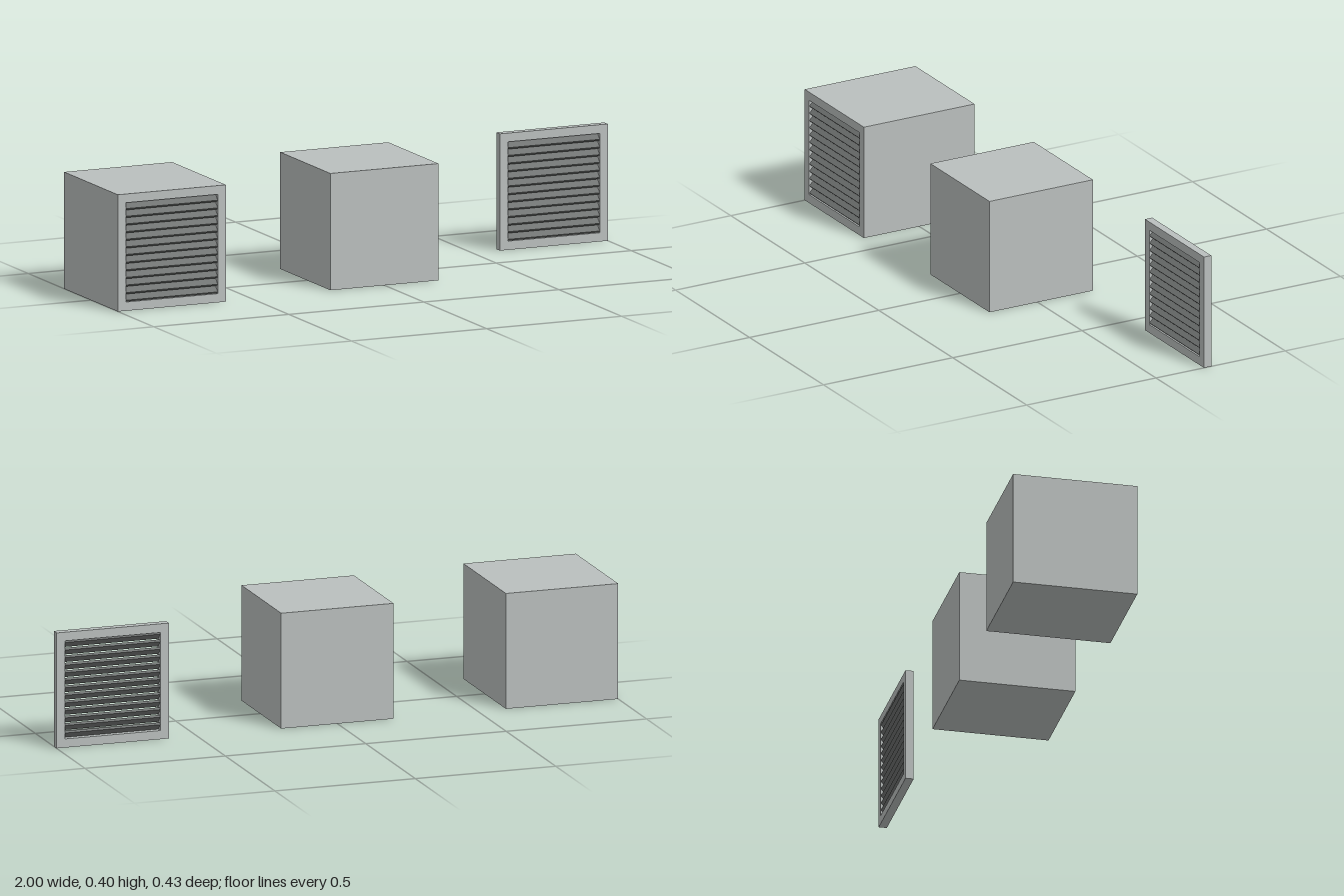
import * as THREE from 'three';

const SIZE = 0.4, DEPTH = 0.028, BORDER = 0.03, SLATS = 13;

function flat(name, color) {
  const material = new THREE.MeshStandardMaterial({ color });
  material.name = name;
  return material;
}
const paleGrey = flat('paleGrey', 0xbabfbe);
const slatGrey = flat('slatGrey', 0x727574);

function block(name, material, w, h, d, x, y, z) {
  const mesh = new THREE.Mesh(new THREE.BoxGeometry(w, h, d), material);
  mesh.name = name;
  mesh.position.set(x, y, z);
  return mesh;
}

// Square frame with thick slanted slats, outer edges pointing down
function louvre(name, x, zBack) {
  const group = new THREE.Group();
  group.name = name;
  group.position.set(x, 0, zBack);

  const half = SIZE / 2, inner = half - BORDER;
  const outline = new THREE.Shape([[-half, 0], [half, 0], [half, SIZE], [-half, SIZE]]
    .map(([a, b]) => new THREE.Vector2(a, b)));
  outline.holes.push(new THREE.Path([[-inner, BORDER], [-inner, SIZE - BORDER], [inner, SIZE - BORDER], [inner, BORDER]]
    .map(([a, b]) => new THREE.Vector2(a, b))));
  const frame = new THREE.Mesh(
    new THREE.ExtrudeGeometry(outline, { depth: DEPTH, bevelEnabled: false }), paleGrey);
  frame.name = 'frame';
  group.add(frame);

  const pitch = 2 * inner / SLATS;
  for (let i = 0; i < SLATS; i++) {
    const slat = block('slat', slatGrey, 2 * inner, 0.009, 0.029, 0, BORDER + pitch * (i + 0.5), DEPTH / 2);
    slat.rotation.x = Math.PI / 4;
    group.add(slat);
  }
  return group;
}

export function createModel() {
  const model = new THREE.Group();
  model.name = 'ventBlocks';

  // Solid block with the louvre mounted on its front
  const ventedBlock = new THREE.Group();
  ventedBlock.name = 'ventedBlock';
  ventedBlock.add(block('body', paleGrey, SIZE, SIZE, SIZE, -0.8, SIZE / 2, -DEPTH / 2));
  ventedBlock.add(louvre('mountedLouvre', -0.8, SIZE / 2 - DEPTH / 2));
  model.add(ventedBlock);

  // Plain block
  model.add(block('plainBlock', paleGrey, SIZE, SIZE, SIZE, 0, SIZE / 2, -DEPTH / 2));

  // Free-standing louvre, open at the back
  model.add(louvre('looseLouvre', 0.8, -SIZE / 2 - DEPTH / 2));
  return model;
}
